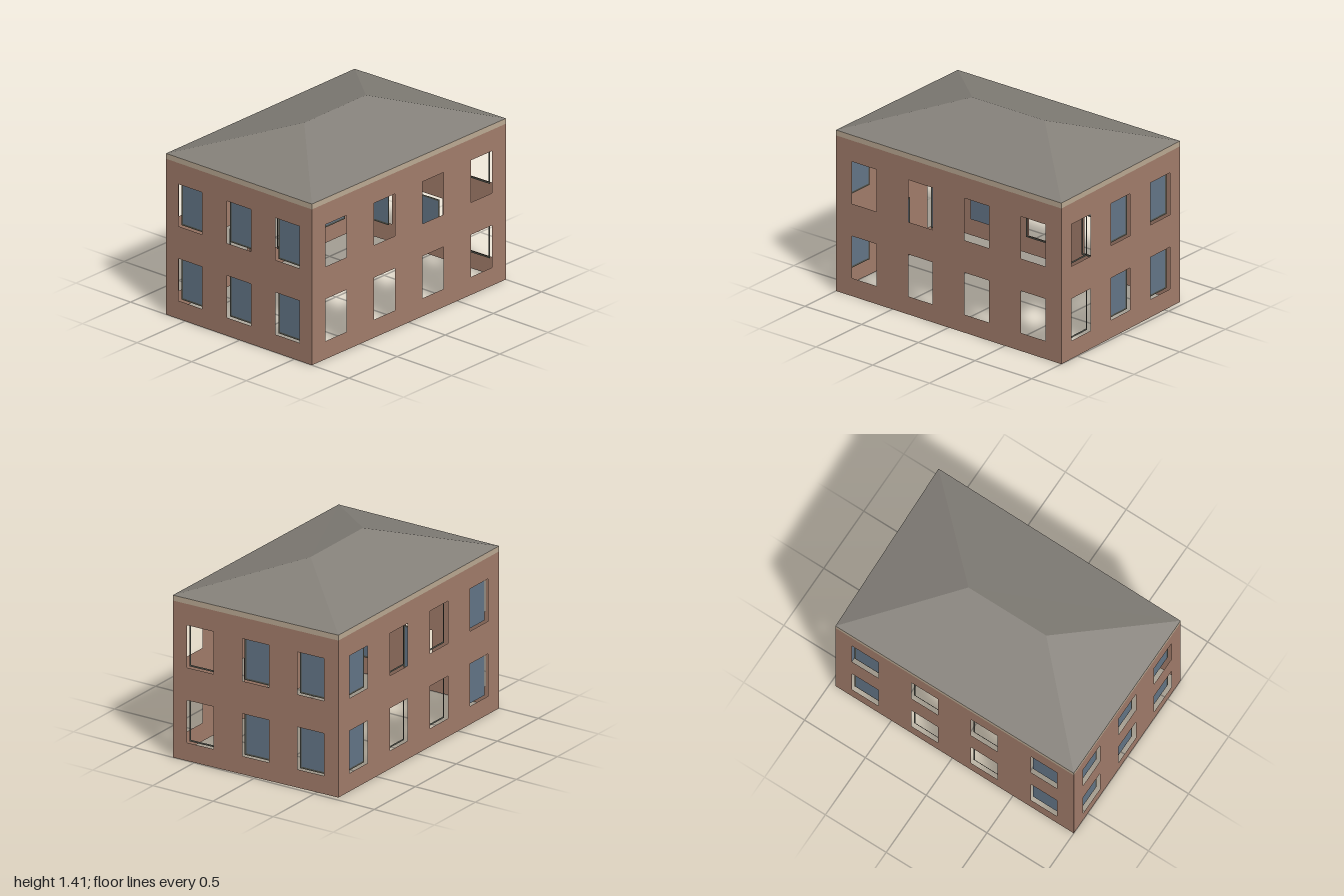
import * as THREE from 'three';

const mat = (name, color) => {
  const m = new THREE.MeshStandardMaterial({ color, side: THREE.DoubleSide });
  m.name = name;
  return m;
};

const EAVES = 1.205, BAND = 1.165, RIDGE = 1.41;
const WIN_W = 0.217, WIN_H = 0.315, SILLS = [0.135, 0.692];
const RECESS = 0.03, FRAME = 0.013;

// rectangle outline, usable as a Shape or as a hole
function rect(Type, x, y, w, h) {
  const p = new Type();
  p.moveTo(x, y);
  p.lineTo(x + w, y);
  p.lineTo(x + w, y + h);
  p.lineTo(x, y + h);
  p.closePath();
  return p;
}

export function createModel() {
  const brick = mat('brick', 0xa57f6d);
  const trim = mat('trim', 0xbfad96);
  const slate = mat('slate', 0x85817a);
  const glass = mat('glass', 0x66788a);
  const frameMat = mat('frame', 0x54564e);

  const house = new THREE.Group();
  house.name = 'house';

  const add = (parent, name, geometry, material, z = 0) => {
    const mesh = new THREE.Mesh(geometry, material);
    mesh.name = name;
    mesh.position.z = z;
    parent.add(mesh);
  };

  // slightly irregular footprint, as [x, z], anticlockwise from front right corner of the front wall
  const corners = [[-0.675, 1], [0.66, 1], [0.675, -1], [-0.675, -0.96]];

  // each wall runs left to right as seen from outside; one flag per window column
  const walls = [
    { name: 'frontWall', panes: [1, 1, 1], frames: [1, 1, 1] },
    { name: 'leftWall', panes: [0, 0, 0, 0], frames: [0, 0, 0, 0] },
    { name: 'backWall', panes: [0, 1, 1], frames: [1, 1, 1] },
    { name: 'rightWall', panes: [1, 0, 0, 1], frames: [1, 1, 1, 0] },
  ];

  walls.forEach(({ name, panes, frames }, i) => {
    const [ax, az] = corners[i], [bx, bz] = corners[(i + 1) % 4];
    const length = Math.hypot(bx - ax, bz - az);
    const wall = new THREE.Group();
    wall.name = name;
    wall.position.set(ax, 0, az);
    wall.rotation.y = Math.atan2(az - bz, bx - ax);
    house.add(wall);

    const face = rect(THREE.Shape, 0, 0, length, BAND);
    panes.forEach((hasPane, c) => {
      const x = (length * (c + 0.5)) / panes.length - WIN_W / 2;
      const inset = frames[c] ? FRAME : 0;
      for (const y of SILLS) {
        face.holes.push(rect(THREE.Path, x, y, WIN_W, WIN_H));
        const inner = [x + inset, y + inset, WIN_W - 2 * inset, WIN_H - 2 * inset];
        // recessed window frame
        if (frames[c]) {
          const ring = rect(THREE.Shape, x, y, WIN_W, WIN_H);
          ring.holes.push(rect(THREE.Path, ...inner));
          add(wall, 'windowFrame', new THREE.ShapeGeometry(ring), frameMat, -RECESS);
        }
        // recessed window pane
        if (hasPane) {
          add(wall, 'windowPane', new THREE.ShapeGeometry(rect(THREE.Shape, ...inner)), glass, -RECESS);
        }
      }
    });
    add(wall, 'brickwork', new THREE.ShapeGeometry(face), brick);

    // pale band under the eaves
    add(wall, 'eavesBand', new THREE.ShapeGeometry(rect(THREE.Shape, 0, BAND, length, EAVES - BAND)), trim);
  });

  // hipped roof: two trapezoids and two triangles
  const [fl, fr, br, bl] = corners.map(([x, z]) => [x, EAVES, z]);
  const ridgeFront = [0, RIDGE, 0.33], ridgeBack = [0, RIDGE, -0.31];
  const roof = new THREE.BufferGeometry();
  roof.setAttribute('position', new THREE.Float32BufferAttribute([
    fl, fr, ridgeFront,
    fr, br, ridgeBack, fr, ridgeBack, ridgeFront,
    br, bl, ridgeBack,
    bl, fl, ridgeFront, bl, ridgeFront, ridgeBack,
  ].flat(), 3));
  roof.computeVertexNormals();
  add(house, 'roof', roof, slate);

  return house;
}
